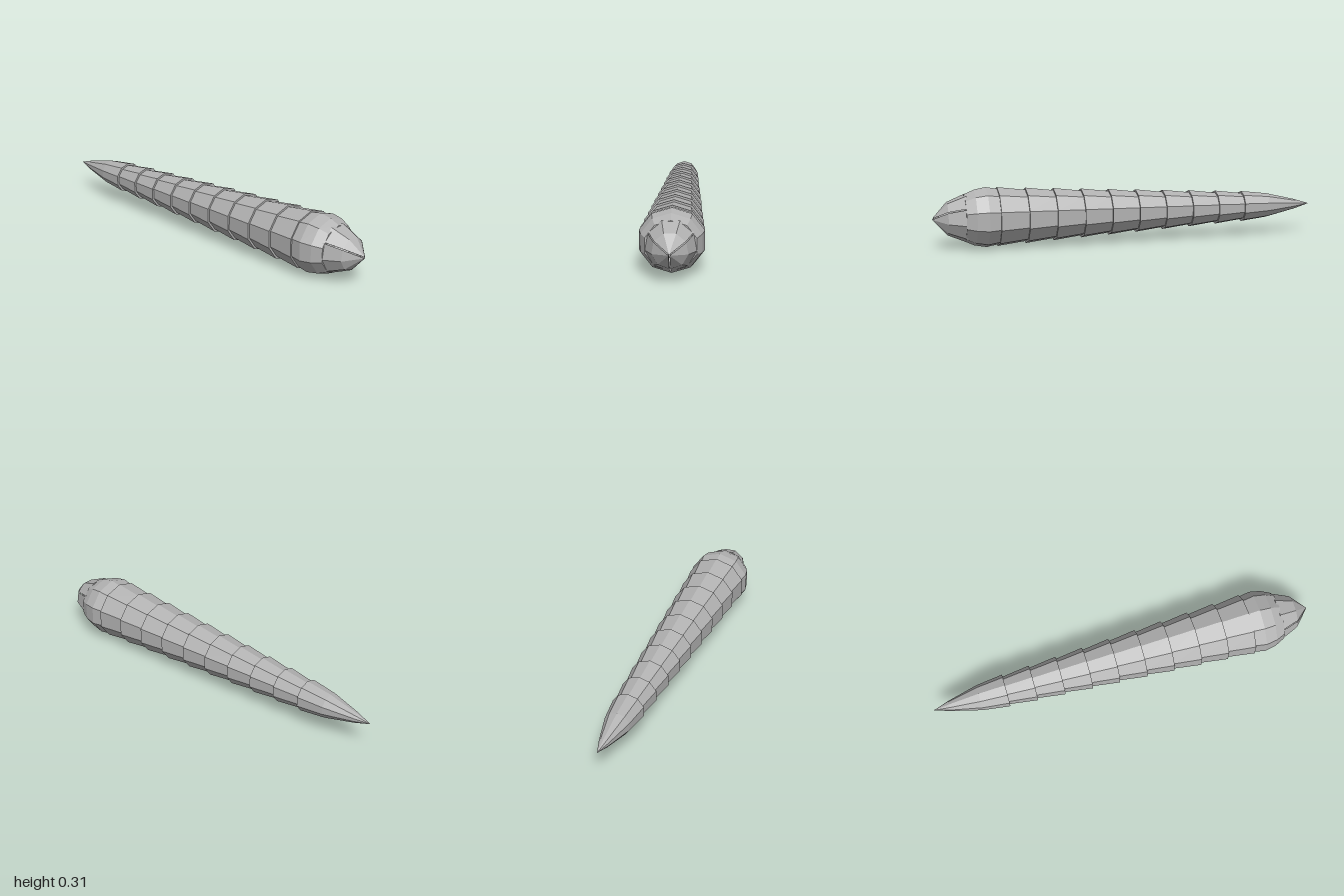
import * as THREE from 'three';

const skin = new THREE.MeshStandardMaterial({ color: 0xb2b2b2, flatShading: true, side: THREE.DoubleSide });
skin.name = 'grey skin';

const AXIS_Y = 0.154;
const SEGMENTS = 9;
const PITCH = 0.1436;
const FIRST_X = -0.62;

// Faceted solid turned round the x axis from [x, radius] pairs
function turned(name, profile, sides, start, length) {
  const points = profile.map(([x, r]) => new THREE.Vector2(r, x));
  const geometry = new THREE.LatheGeometry(points, sides, start, length).rotateZ(-Math.PI / 2);
  const mesh = new THREE.Mesh(geometry, skin);
  mesh.name = name;
  return mesh;
}

const ring = (name, profile) => turned(name, profile, 10, Math.PI / 2, Math.PI * 2);

// Flared front radius of body ring i
const flare = (i) => 0.08 + 0.0078 * i;

export function createModel() {
  const model = new THREE.Group();
  model.name = 'worm';
  model.position.y = AXIS_Y;

  // Body, slightly wider than tall
  const body = new THREE.Group();
  body.name = 'body';
  body.scale.z = 1.05;
  model.add(body);

  // Pointed tail
  body.add(ring('tail', [
    [-1, 0], [-0.92, 0.025], [-0.76, 0.063], [FIRST_X, flare(0)], [FIRST_X, flare(0) - 0.016],
  ]));

  // Overlapping rings, each widening towards the head
  for (let i = 1; i <= SEGMENTS; i++) {
    const x0 = FIRST_X + PITCH * (i - 1);
    const x1 = x0 + PITCH;
    const r = flare(i);
    body.add(ring('bodyRing' + i, [
      [x0 - 0.002, flare(i - 1) - 0.011], [x1, r], [x1, r - 0.016],
    ]));
  }

  // Rounded head with a hollow mouth
  body.add(ring('head', [
    [0.67, 0.142], [0.73, 0.153], [0.79, 0.142], [0.84, 0.119], [0.84, 0.105], [0.76, 0.08], [0.74, 0],
  ]));

  // Three-part beak: thin petals separated by narrow slits
  for (let k = 0; k < 3; k++) {
    const start = Math.PI / 2 + (k * Math.PI * 2) / 3;
    const petal = turned('beakPetal' + (k + 1), [
      [0.9, 0.075], [0.83, 0.108], [0.83, 0.122], [0.925, 0.082], [1, 0], [0.975, 0], [0.9, 0.075],
    ], 3, start, (Math.PI * 2) / 3);
    const middle = start + Math.PI / 3;
    petal.position.set(0, -Math.sin(middle) * 0.003, Math.cos(middle) * 0.003);
    model.add(petal);
  }

  return model;
}
